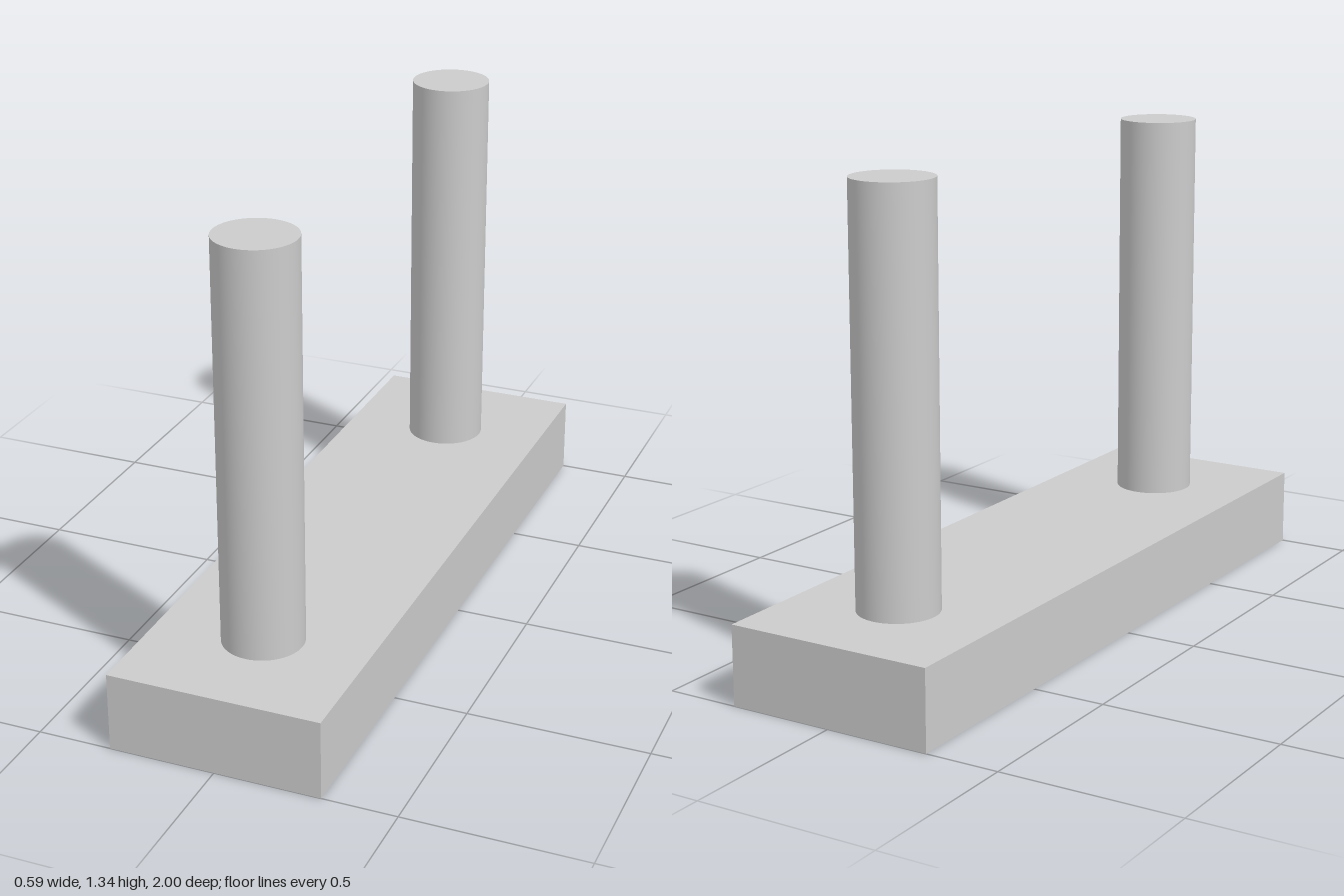
import * as THREE from 'three';

export function createModel() {
  const group = new THREE.Group();
  const material = new THREE.MeshStandardMaterial({ color: 0xcccccc });
  const baseHeight = 0.22, postTop = 1.343;

  // Rectangular base slab
  const base = new THREE.Mesh(new THREE.BoxGeometry(0.59, baseHeight, 2), material);
  base.name = 'base';
  base.position.y = baseHeight / 2;
  group.add(base);

  // Two round posts standing near the ends of the base
  const postHeight = postTop - baseHeight;
  const postGeometry = new THREE.CylinderGeometry(0.111, 0.111, postHeight, 64);
  for (const [name, side] of [['frontPost', 1], ['backPost', -1]]) {
    const post = new THREE.Mesh(postGeometry, material);
    post.name = name;
    post.position.set(0, baseHeight + postHeight / 2, side * 0.686);
    group.add(post);
  }

  return group;
}
